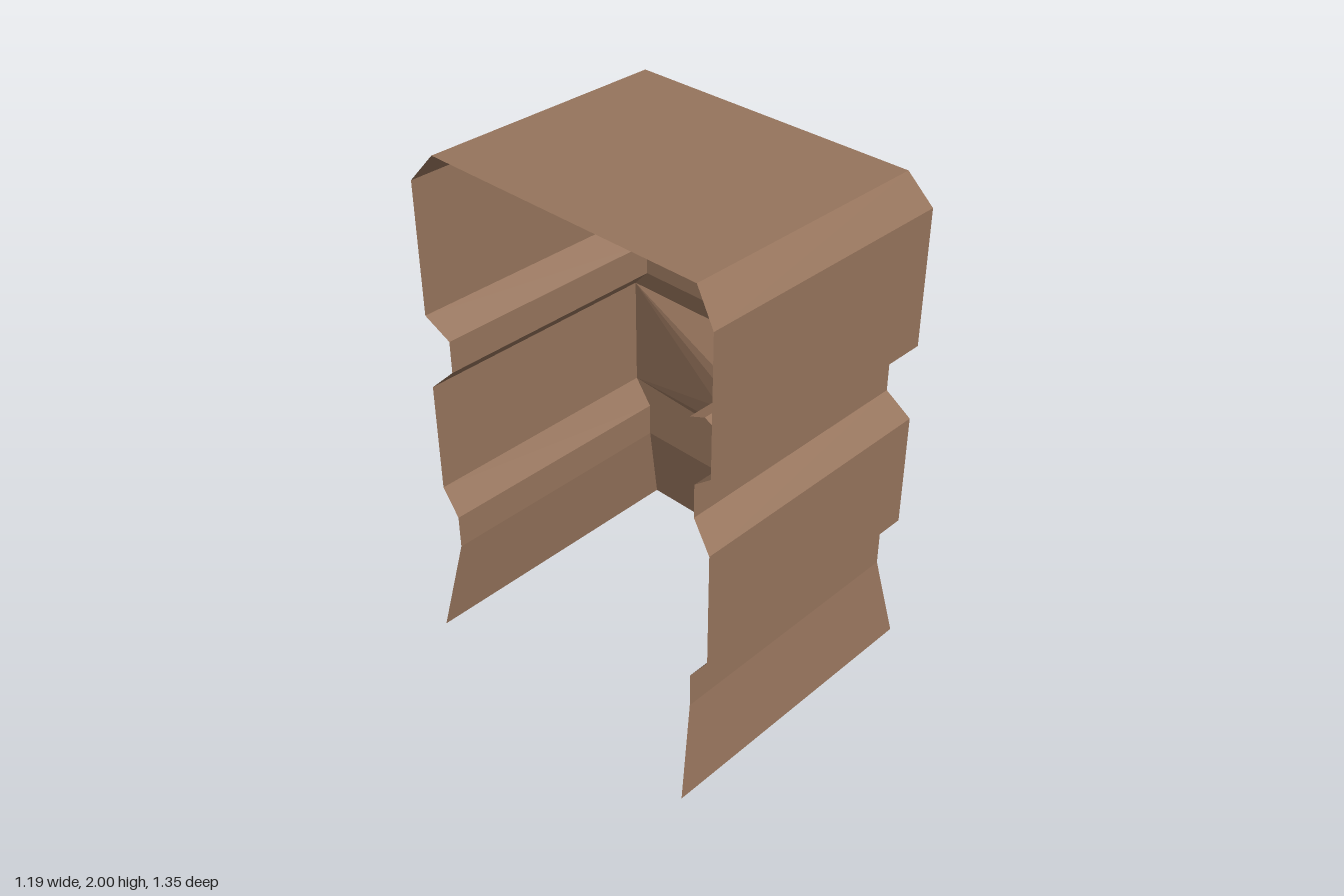
import * as THREE from 'three';

// Shell profile from bottom to top: [height, half width, half depth]
const PROFILE = [
  [0, 0.595, 0.64], [0.37, 0.515, 0.6], [0.51, 0.515, 0.6], [0.615, 0.515, 0.675],
  [1.07, 0.515, 0.675], [1.16, 0.49, 0.585], [1.29, 0.49, 0.585], [1.37, 0.515, 0.675],
  [1.89, 0.515, 0.675], [2, 0.49, 0.585],
];

// Turns convex polygons (lists of corners) into a flat faceted mesh
function facets(name, polygons, material) {
  const pos = [];
  for (const p of polygons) {
    for (let i = 1; i < p.length - 1; i++) pos.push(...p[0], ...p[i], ...p[i + 1]);
  }
  const geo = new THREE.BufferGeometry();
  geo.setAttribute('position', new THREE.Float32BufferAttribute(pos, 3));
  geo.computeVertexNormals();
  const mesh = new THREE.Mesh(geo, material);
  mesh.name = name;
  return mesh;
}

// Strip of wall between two profile rings
const frontBand = ([y, w, d], [y2, w2, d2]) => [[-w, y, d], [w, y, d], [w2, y2, d2], [-w2, y2, d2]];
const backBand = ([y, w, d], [y2, w2, d2]) => [[w, y, -d], [-w, y, -d], [-w2, y2, -d2], [w2, y2, -d2]];
const sideBand = ([y, w, d], [y2, w2, d2]) => [[w, y, d], [w, y, -d], [w2, y2, -d2], [w2, y2, d2]];

// Funnel-shaped recess ending in a blind octagonal socket
function socketPanel(name, low, high, centerY, radius, material) {
  const x = low[1], rimX = x - 0.12, endX = rimX - 0.2;
  const ring = (px) => Array.from({ length: 8 }, (_, k) => {
    const a = k * Math.PI / 4;
    return [px, centerY + radius * Math.sin(a), -radius * Math.cos(a)];
  });
  const rim = ring(rimX), end = ring(endX);
  const corners = [
    [x, high[0], -high[2]], [x, high[0], high[2]],
    [x, low[0], low[2]], [x, low[0], -low[2]],
  ];
  const funnel = [], socket = [end];
  for (let j = 0; j < 4; j++) {
    const a = corners[j], b = corners[(j + 1) % 4];
    const r1 = rim[2 * j + 1], mid = rim[(2 * j + 2) % 8], r2 = rim[(2 * j + 3) % 8];
    funnel.push([a, b, mid], [a, mid, r1], [b, r2, mid]);
  }
  for (let k = 0; k < 8; k++) {
    const n = (k + 1) % 8;
    socket.push([rim[k], rim[n], end[n], end[k]]);
  }
  const group = new THREE.Group();
  group.name = name;
  group.add(facets('funnel', funnel, material), facets('socket', socket, material));
  return group;
}

export function createModel() {
  const model = new THREE.Group();
  model.name = 'steppedHousing';
  const clay = new THREE.MeshStandardMaterial({ color: 0x96745c, side: THREE.DoubleSide });
  clay.name = 'clay brown';

  // Three walls; the right side stays open
  const front = [], back = [], side = [];
  for (let i = 0; i < PROFILE.length - 1; i++) {
    const a = PROFILE[i], b = PROFILE[i + 1];
    front.push(frontBand(a, b));
    back.push(backBand(a, b));
    if (i !== 3 && i !== 7) side.push(sideBand(a, b));
  }
  model.add(
    facets('frontWall', front, clay),
    facets('backWall', back, clay),
    facets('leftWall', side, clay),
  );

  // Recessed panels fill the two gaps in the left wall
  model.add(
    socketPanel('lowerSocketPanel', PROFILE[3], PROFILE[4], 0.8, 0.106, clay),
    socketPanel('upperSocketPanel', PROFILE[7], PROFILE[8], 1.64, 0.115, clay),
  );

  // Flat roof
  const [y, w, d] = PROFILE[PROFILE.length - 1];
  model.add(facets('roof', [[[-w, y, d], [w, y, d], [w, y, -d], [-w, y, -d]]], clay));
  return model;
}
